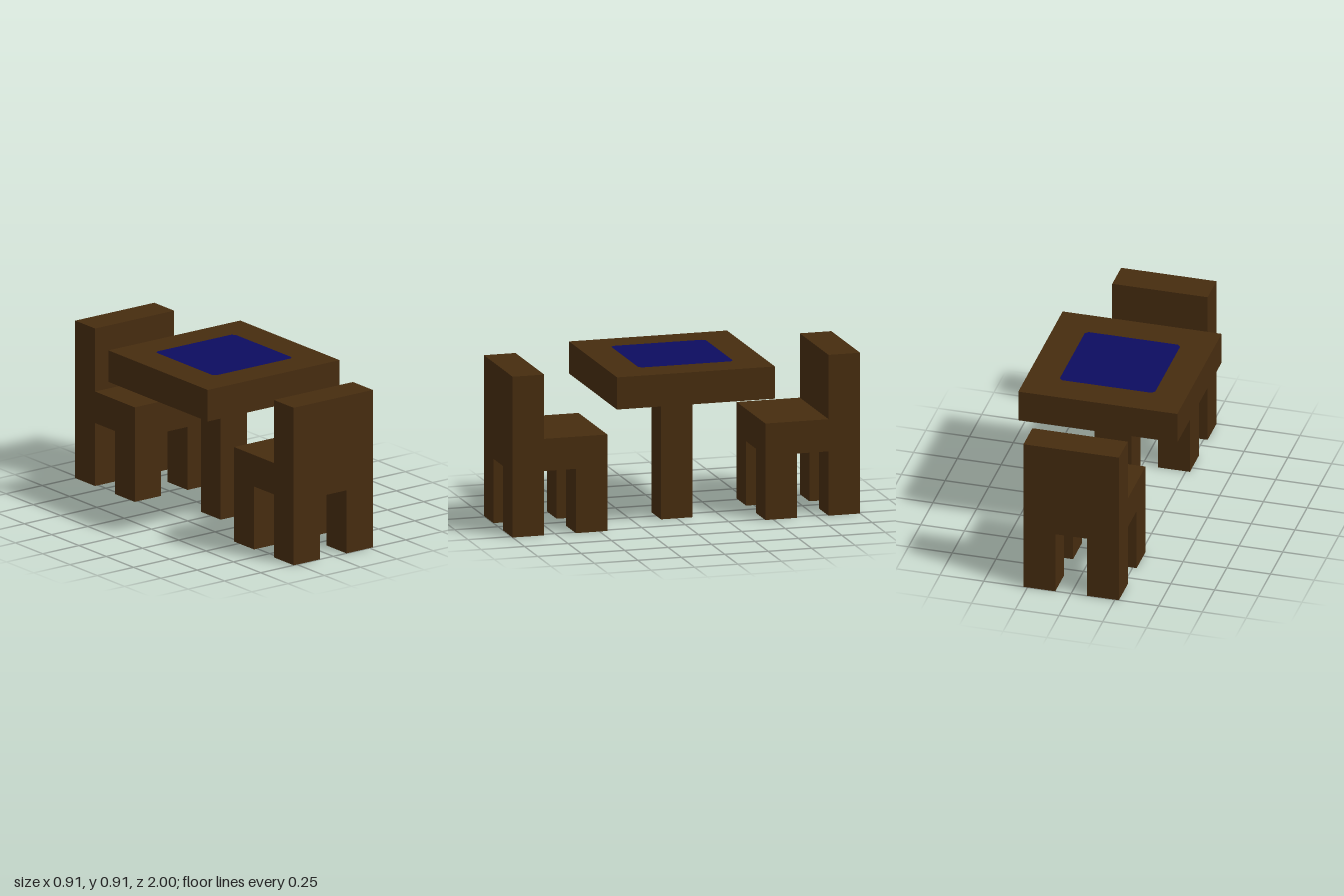
import * as THREE from 'three';

const U = 2 / 11; // grid unit: the set is 11 units long

export function createModel() {
  const wood = new THREE.MeshStandardMaterial({ color: 0x462c0f });
  wood.name = 'darkWood';
  const blue = new THREE.MeshStandardMaterial({ color: 0x0c0c60 });
  blue.name = 'navyBlue';

  // Box sized in grid units, placed by the centre of its base
  const block = (parent, name, [w, h, d], [x, y, z]) => {
    const mesh = new THREE.Mesh(new THREE.BoxGeometry(w * U, h * U, d * U), wood);
    mesh.name = name;
    mesh.position.set(x * U, (y + h / 2) * U, z * U);
    parent.add(mesh);
  };

  const model = new THREE.Group();
  model.name = 'tableAndChairs';

  // Table: square slab on one central post
  const table = new THREE.Group();
  table.name = 'table';
  block(table, 'tableTop', [5, 1, 5], [0, 4, 0]);
  block(table, 'tablePost', [1, 4, 1], [0, 0, 0]);

  // Blue inlay with clipped corners, on both faces of the slab
  const r = 1.5 * U, c = r - 0.018;
  const outline = new THREE.Shape([
    [c, -r], [r, -c], [r, c], [c, r], [-c, r], [-r, c], [-r, -c], [-c, -r],
  ].map(([x, y]) => new THREE.Vector2(x, y)));
  const inlay = new THREE.ShapeGeometry(outline);
  for (const side of [1, -1]) {
    const mesh = new THREE.Mesh(inlay, blue);
    mesh.name = side > 0 ? 'topInlay' : 'undersideInlay';
    mesh.rotation.x = -side * Math.PI / 2;
    mesh.position.y = (4.5 + side * 0.5) * U + side * 0.002;
    table.add(mesh);
  }
  model.add(table);

  // Two chairs facing the table from either end
  for (const end of [1, -1]) {
    const chair = new THREE.Group();
    chair.name = end > 0 ? 'frontChair' : 'backChair';
    block(chair, 'backrest', [3, 3, 1], [0, 2, 5]);
    block(chair, 'seat', [3, 1, 2], [0, 2, 3.5]);
    for (const x of [-1, 1]) {
      block(chair, 'rearLeg', [1, 2, 1], [x, 0, 5]);
      block(chair, 'frontLeg', [1, 2, 1], [x, 0, 3]);
    }
    if (end < 0) chair.rotation.y = Math.PI;
    model.add(chair);
  }

  return model;
}
